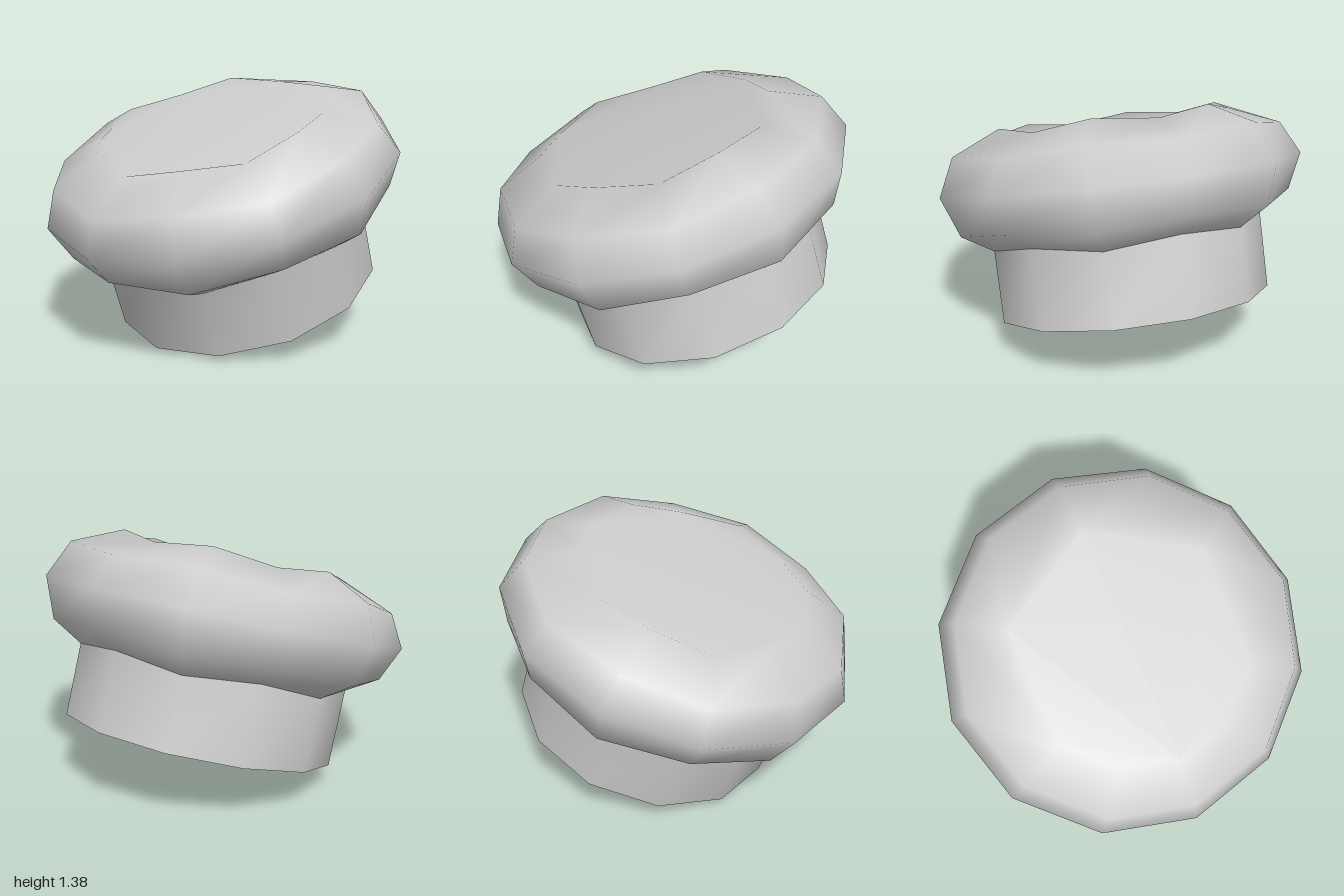
import * as THREE from 'three';

const SIDES = 12;

// Smooth surface through 12-sided rings [radius, height, wobble]; wobble lifts odd corners and drops even ones.
function ringSurface(rings, cap) {
  const pos = [], index = [];
  for (const [r, h, wobble] of rings) {
    for (let j = 0; j < SIDES; j++) {
      const a = (j / SIDES) * Math.PI * 2;
      pos.push(r * Math.sin(a), h + (j % 2 ? wobble : -wobble), r * Math.cos(a));
    }
  }
  for (let i = 0; i < rings.length - 1; i++) {
    for (let j = 0; j < SIDES; j++) {
      const k = (j + 1) % SIDES;
      const a = i * SIDES + j, b = i * SIDES + k;
      index.push(a, b, b + SIDES, a, b + SIDES, a + SIDES);
    }
  }
  if (cap) {
    // flat hexagon between the even corners, with a raised flap at each odd corner
    const o = (rings.length - 1) * SIDES;
    for (let j = 0; j < SIDES; j += 2) index.push(o + j, o + j + 1, o + ((j + 2) % SIDES));
    for (let j = 2; j < SIDES - 2; j += 2) index.push(o, o + j, o + j + 2);
  }
  const g = new THREE.BufferGeometry();
  g.setAttribute('position', new THREE.Float32BufferAttribute(pos, 3));
  g.setIndex(index);
  g.computeVertexNormals();
  return g;
}

export function createModel() {
  const group = new THREE.Group();
  const cloth = new THREE.MeshStandardMaterial({ color: 0xcccccc });
  cloth.name = 'light grey cloth';

  const hat = new THREE.Group();
  hat.name = 'tiltedHat';
  hat.position.set(0, 0.232, -0.215);
  hat.rotation.x = THREE.MathUtils.degToRad(18);
  group.add(hat);

  const add = (name, geometry) => {
    const mesh = new THREE.Mesh(geometry, cloth);
    mesh.name = name;
    hat.add(mesh);
    return mesh;
  };

  // Upright band
  add('band', ringSurface([[0.752, 0, 0], [0.752, 0.407, -0.017]], false));

  // Flat underside of the band
  add('bandUnderside', new THREE.CircleGeometry(0.752, SIDES, Math.PI / 2)).rotation.x = Math.PI / 2;

  // Puffed crown with a slightly sunken top
  add('puffedCrown', ringSurface([
    [0.752, 0.407, -0.017],
    [0.918, 0.508, -0.015],
    [1.0, 0.711, 0],
    [0.907, 0.899, 0.013],
    [0.64, 1.011, 0.018],
  ], true));

  return group;
}
